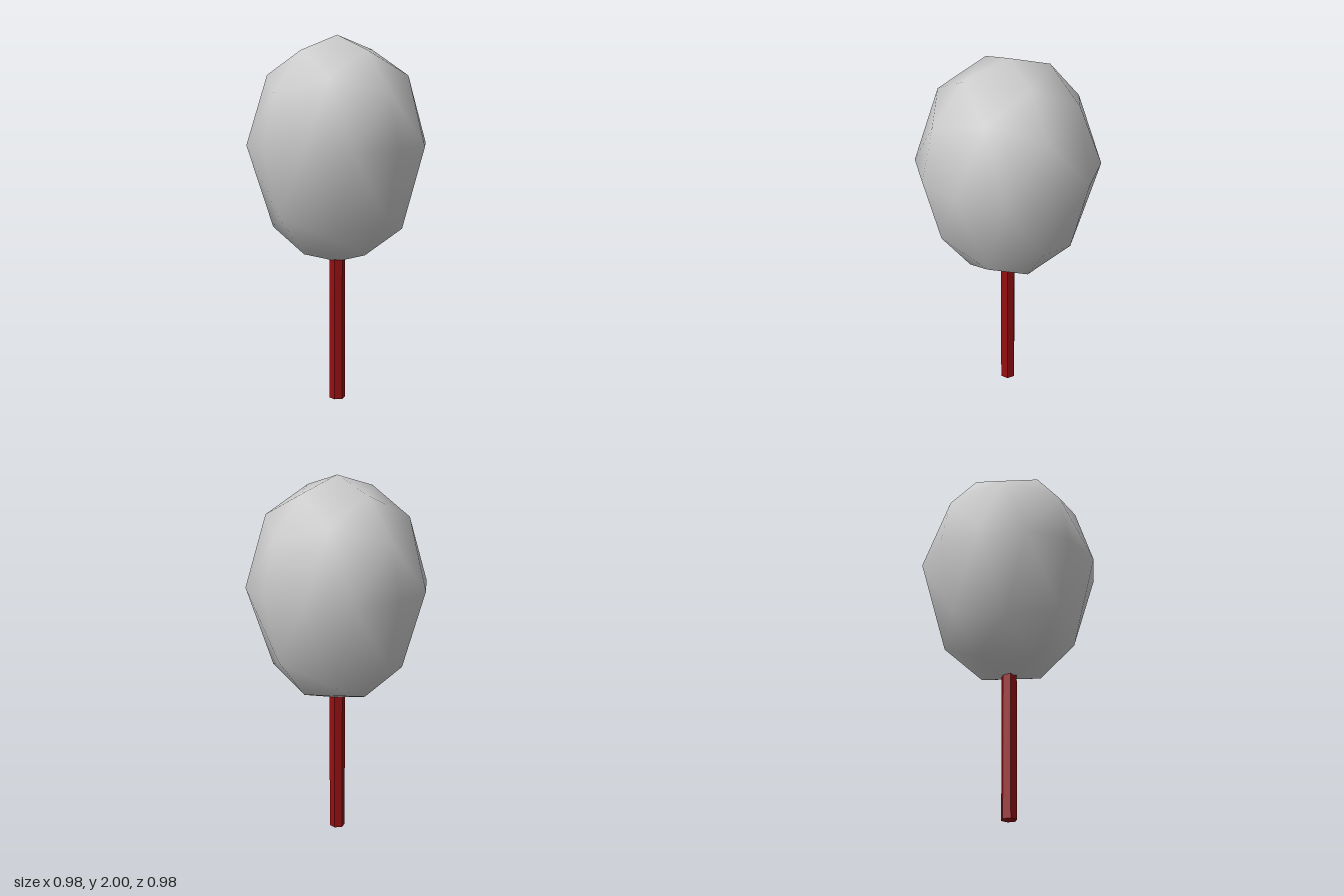
import * as THREE from 'three';

// Rows of the crown from top to bottom: points per quarter turn, radius, height
const rows = [
  { n: 0, r: 0, y: 2.0 },
  { n: 1, r: 0.245, y: 1.922 },
  { n: 2, r: 0.424, y: 1.71 },
  { n: 3, r: 0.49, y: 1.42 },
  { n: 2, r: 0.395, y: 1.058 },
  { n: 1, r: 0.23, y: 0.843 },
  { n: 0, r: 0, y: 0.775 },
];
const MIDDLE = 1.42;

// Egg-shaped crown built like an octahedron with each edge split in three
function crownGeometry() {
  const positions = [];
  const index = [];

  for (const row of rows) {
    row.start = positions.length / 3;
    row.count = Math.max(1, row.n * 4);
    for (let i = 0; i < row.count; i++) {
      const a = (i / row.count) * Math.PI * 2;
      // the points between the quarter edges sit nearer the pole on the n = 2 rows
      const between = row.n === 2 && i % 2 === 1;
      const r = row.r * (between ? 0.894 : 1);
      const y = MIDDLE + (row.y - MIDDLE) * (between ? 1.265 : 1);
      positions.push(r * Math.sin(a), y, r * Math.cos(a));
    }
  }

  const at = (row, i) => row.start + (i % row.count);
  for (let k = 0; k < rows.length - 1; k++) {
    const upper = rows[k].n < rows[k + 1].n;
    const small = upper ? rows[k] : rows[k + 1];
    const big = upper ? rows[k + 1] : rows[k];
    const face = (a, b, c) => (upper ? index.push(a, b, c) : index.push(a, c, b));
    for (let q = 0; q < 4; q++) {
      for (let j = 0; j < big.n; j++) {
        const s = q * small.n + j;
        const b = q * big.n + j;
        face(at(small, s), at(big, b), at(big, b + 1));
        if (j < small.n) face(at(small, s), at(big, b + 1), at(small, s + 1));
      }
    }
  }

  const geometry = new THREE.BufferGeometry();
  geometry.setAttribute('position', new THREE.Float32BufferAttribute(positions, 3));
  geometry.setIndex(index);
  geometry.computeVertexNormals();
  return geometry;
}

export function createModel() {
  const model = new THREE.Group();
  model.name = 'tree';

  const crown = new THREE.Mesh(
    crownGeometry(),
    new THREE.MeshStandardMaterial({ color: 0xcccccc })
  );
  crown.name = 'crown';
  model.add(crown);

  // Six-sided trunk with corners on the x axis
  const height = 0.8;
  const trunk = new THREE.Mesh(
    new THREE.CylinderGeometry(0.043, 0.043, height, 6, 1, false, Math.PI / 6),
    new THREE.MeshStandardMaterial({ color: 0x960f12, flatShading: true })
  );
  trunk.name = 'trunk';
  trunk.position.y = height / 2;
  model.add(trunk);

  return model;
}
